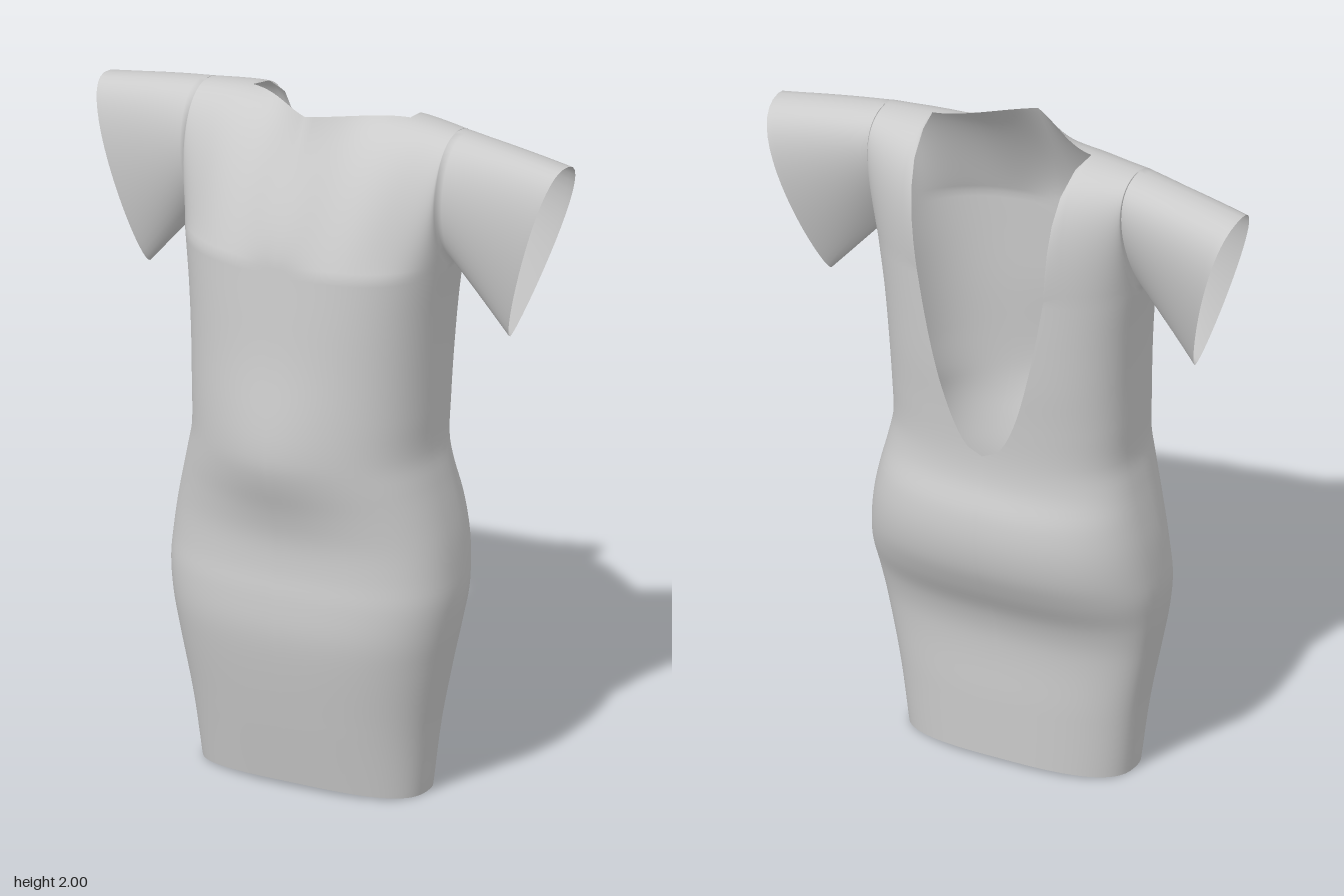
import * as THREE from 'three';

const N = 2.5;               // roundness of the body cross-sections
const YOKE = 1.6;            // underarm height
const { lerp, clamp, smoothstep } = THREE.MathUtils;

// body profile: height, half width, front z, back z
const PROFILE = [
  [0, .35, .16, -.16], [.2, .375, .2, -.165], [.4, .413, .238, -.17], [.5, .432, .25, -.195],
  [.6, .443, .247, -.25], [.68, .438, .238, -.285], [.77, .426, .236, -.3], [.86, .407, .246, -.293],
  [.95, .385, .26, -.265], [1.03, .368, .268, -.257], [1.15, .37, .268, -.262],
  [1.3, .376, .264, -.274], [1.45, .387, .259, -.281], [1.6, .405, .25, -.285],
];

function profile(y) {
  let i = 0;
  while (i < PROFILE.length - 2 && PROFILE[i + 1][0] < y) i++;
  const at = k => PROFILE[clamp(k, 0, PROFILE.length - 1)];
  const [p, q] = [at(i), at(i + 1)];
  const h = q[0] - p[0], t = (y - p[0]) / h;
  return [1, 2, 3].map(c => {
    const slope = k => (at(k + 1)[c] - at(k - 1)[c]) / (at(k + 1)[0] - at(k - 1)[0]);
    const m0 = slope(i) * h, m1 = slope(i + 1) * h;
    return p[c] + t * m0 + t * t * (3 * (q[c] - p[c]) - 2 * m0 - m1)
      + t * t * t * (2 * (p[c] - q[c]) + m0 + m1);
  });
}

// half width of the deep scoop in the back
const scoop = y => .25 * Math.pow(clamp((y - 1.04) / .9, 0, 1), .45);
const scoopAngle = y => Math.asin(Math.pow(scoop(y) / profile(y)[0], N / 2));

// point of the body at angle t (0 = front centre, PI = back centre)
function ring(t, y) {
  const [a, f, b] = profile(y);
  const zc = -.0375 * y, c = Math.cos(t);
  const x = a * Math.pow(Math.abs(Math.sin(t)), 2 / N);
  const z = zc + ((c > 0 ? f : b) - zc) * Math.pow(Math.abs(c), 2 / N);
  const rise = (y - 1.03) / (y < 1.03 ? .16 : .24);
  const belly = c > 0 ? .036 * Math.exp(-rise * rise - (x / .18) ** 2) : 0;
  return [x, y, z + belly];
}

// shared angles: front centre, side seam, back opening
const T1 = scoopAngle(YOKE), HALF = Math.PI / 2;
const spread = u => Math.pow(u, 1.6);
const frontAngle = u => u < .4 ? T1 * u / .4 : T1 + (HALF - T1) * spread((u - .4) / .6);
const backAngle = (u, y) => Math.PI - lerp(scoopAngle(y), HALF, spread(1 - u));

const bezier = (a, b, c, d, t) => {
  const s = 1 - t;
  return a * s * s * s + 3 * b * s * s * t + 3 * c * s * t * t + d * t * t * t;
};

const SIDE = profile(YOKE)[0];
const topY = x => x < .25 ? 2 - .02 * x : 1.995 - .065 * Math.pow((x - .25) / .49, 1.4);

// arch running from underarm height up to the shoulder line
function yokePoint(t, v) {
  const [x, y0, z0] = ring(t, YOKE);
  const top = topY(x), k = smoothstep(x, 0, .25), k2 = Math.pow(x / SIDE, 2);
  const topZ = lerp(.08, -.08, smoothstep(x, -.08, .27) * 1.12 - .12);
  if (t <= HALF + 1e-6) {
    const fold = .007 * Math.sin(26 * x + 1) * Math.sin(Math.PI * v) * (1 - k2);
    return [x, bezier(y0, 1.7, lerp(1.86, top, k), top, v),
      bezier(z0, lerp(z0 - .01, .1, k2), lerp(.14, .07, k), topZ, v) + fold];
  }
  return [x, bezier(y0, 1.78, top, top, v), bezier(z0, lerp(-.32, -.2, k2), lerp(-.3, -.24, k2), topZ, v)];
}

// drop-shaped sleeve section, s = 0 at the armhole and 1 at the slanted cuff
function sleevePoint(s, v, front) {
  const lowY = lerp(YOKE, 1.4, s), highX = lerp(SIDE, .74, s), top = topY(highX);
  const z0 = lerp(-.06, -.07, s), ease = Math.pow(s, .8);
  const y = bezier(lowY, lerp(front ? 1.7 : 1.78, 1.4, s), top, top, v);
  const z = front
    ? bezier(z0, lerp(.1, -.01, ease), lerp(.07, .08, s), lerp(-.08, -.09, s), v)
    : bezier(z0, lerp(-.2, -.11, s), lerp(-.24, -.34, s), lerp(-.08, -.09, s), v);
  const x = lerp(lerp(SIDE, .58, s), highX, (y - lowY) / (top - lowY));
  return [x, y, z];
}

// grid surface from a point rule, optionally mirrored in x
function sheet(point, nu, nv, side) {
  const pos = [], idx = [];
  for (let j = 0; j <= nv; j++) for (let i = 0; i <= nu; i++) {
    const [x, y, z] = point(i / nu, j / nv);
    pos.push(x * side, y, z);
  }
  for (let j = 0; j < nv; j++) for (let i = 0; i < nu; i++) {
    const a = j * (nu + 1) + i, b = a + 1, c = b + nu + 1, d = a + nu + 1;
    if (side > 0) idx.push(a, b, c, a, c, d);
    else idx.push(a, c, b, a, d, c);
  }
  const g = new THREE.BufferGeometry();
  g.setAttribute('position', new THREE.Float32BufferAttribute(pos, 3));
  g.setIndex(idx);
  g.computeVertexNormals();
  return g;
}

// share normals wherever panels meet so the seams stay smooth
function smoothSeams(meshes) {
  const sums = new Map(), p = new THREE.Vector3(), n = new THREE.Vector3();
  const visit = fn => meshes.forEach(({ geometry: { attributes: a } }) => {
    for (let i = 0; i < a.position.count; i++) {
      p.fromBufferAttribute(a.position, i);
      fn(p.toArray().map(c => Math.round(c * 1e4)).join(), a.normal, i);
    }
  });
  visit((key, normal, i) => {
    if (!sums.has(key)) sums.set(key, new THREE.Vector3());
    sums.get(key).add(n.fromBufferAttribute(normal, i));
  });
  visit((key, normal, i) => {
    n.copy(sums.get(key)).normalize();
    normal.setXYZ(i, n.x, n.y, n.z);
  });
}

export function createModel() {
  const group = new THREE.Group();
  const cloth = new THREE.MeshStandardMaterial({ color: 0xcccccc, side: THREE.DoubleSide });
  const add = (name, point, nu, nv, side) => {
    const mesh = new THREE.Mesh(sheet(point, nu, nv, side), cloth);
    mesh.name = name;
    group.add(mesh);
  };

  for (const side of [1, -1]) {
    const label = side > 0 ? 'left' : 'right';

    // skirt and lower bodice, with the hem slightly raised at the centre
    const hem = ([x, y, z]) => [x, y + .015 * Math.max(0, 1 - y / .2) * Math.max(0, 1 - (x / .35) ** 2), z];
    add(label + 'FrontBody', (u, v) => hem(ring(frontAngle(u), v * YOKE)), 40, 80, side);
    add(label + 'BackBody', (u, v) => hem(ring(backAngle(u, v * YOKE), v * YOKE)), 24, 80, side);

    // yoke: the front reaches the neckline, the back is cut away by the scoop
    add(label + 'FrontYoke', (u, v) => yokePoint(frontAngle(u), v), 40, 20, side);
    add(label + 'BackYoke', (u, v) => {
      const t = backAngle(u, YOKE), x = ring(t, YOKE)[0], w = scoop(YOKE);
      return yokePoint(t, v * clamp((x - w) / (.25 - w), 0, 1));
    }, 24, 20, side);

    // open hanging sleeve
    add(label + 'SleeveFront', (u, v) => sleevePoint(u, v, true), 16, 20, side);
    add(label + 'SleeveBack', (u, v) => sleevePoint(1 - u, v, false), 16, 20, side);
  }
  smoothSeams(group.children);
  return group;
}
